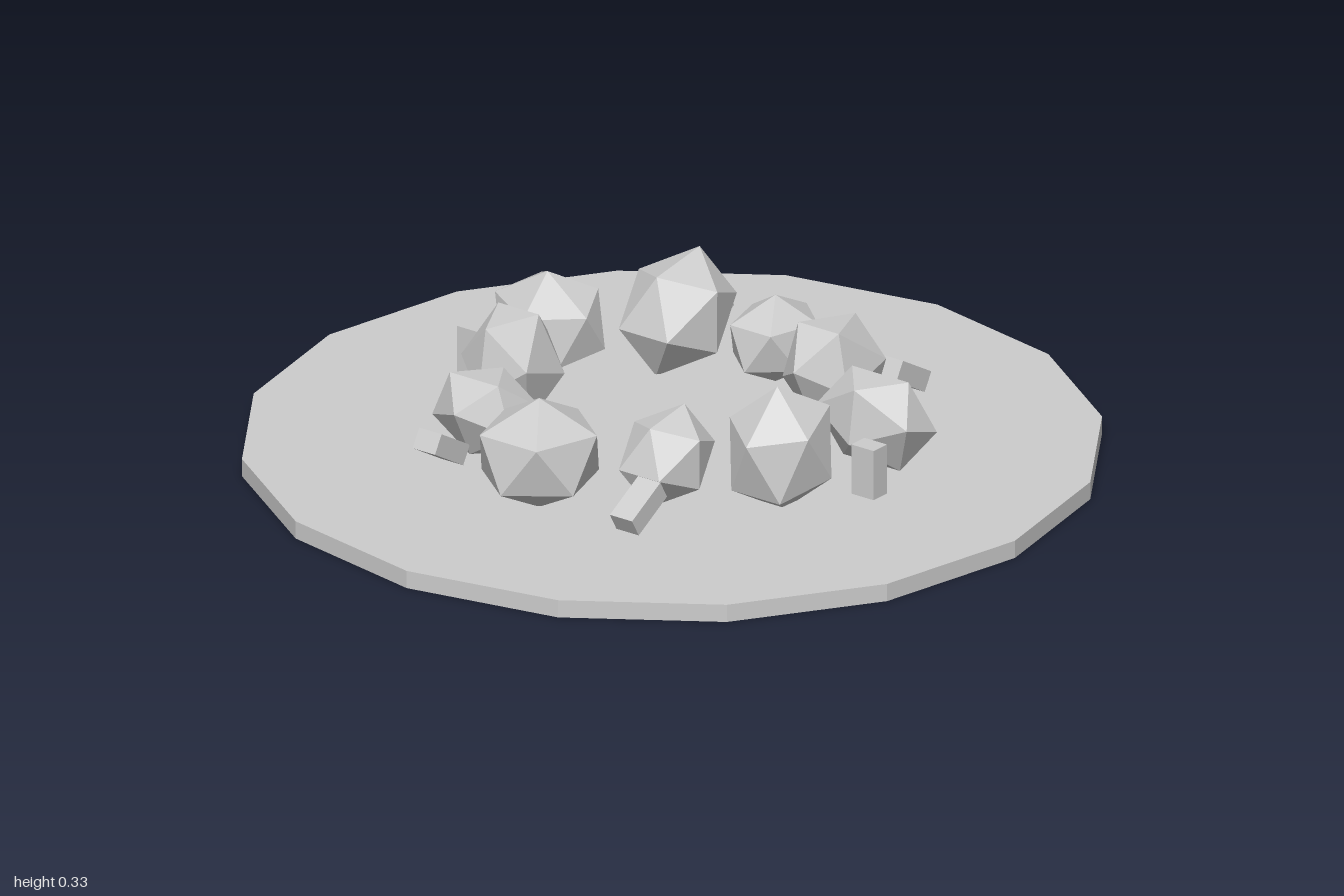
import * as THREE from 'three';

export function createModel() {
  const model = new THREE.Group();
  const stone = new THREE.MeshStandardMaterial({ color: 0xcccccc, flatShading: true });
  stone.name = 'pale grey';

  const add = (name, geometry, x, y, z) => {
    const mesh = new THREE.Mesh(geometry, stone);
    mesh.name = name;
    mesh.position.set(x, y, z);
    model.add(mesh);
    return mesh;
  };

  // sixteen-sided ground disc
  const discHeight = 0.043;
  add('groundDisc', new THREE.CylinderGeometry(1, 1, discHeight, 16), 0, discHeight / 2, 0);

  // ring of rocks: icosahedra standing on a corner, each stretched and then rolled a step further
  const rockGeometry = new THREE.IcosahedronGeometry(1, 0);
  rockGeometry.rotateZ(-Math.atan(2 / (1 + Math.sqrt(5))));
  for (let i = 0; i < 10; i++) {
    const angle = (i * Math.PI) / 5;
    const radius = 0.39 + 0.055 * (i % 3);
    const large = i % 2 === 1;
    const rock = add('rock' + (i + 1), rockGeometry,
      radius * Math.cos(angle), large ? 0.173 : 0.163, -radius * Math.sin(angle));
    rock.scale.set(large ? 0.163 : 0.131, large ? 0.136 : 0.108, 0.112 + 0.0225 * (i % 3));
    rock.rotation.z = angle;
  }

  // six small blocks outside the ring, tilted sideways by their place on it
  const blockGeometry = new THREE.BoxGeometry(0.05, 0.123, 0.065);
  for (let i = 0; i < 6; i++) {
    const angle = Math.PI / 6 + (i * Math.PI) / 3;
    const block = add('block' + (i + 1), blockGeometry,
      0.575 * Math.cos(angle), 0.113, -0.575 * Math.sin(angle));
    block.rotation.z = angle - Math.PI / 2;
  }

  return model;
}
